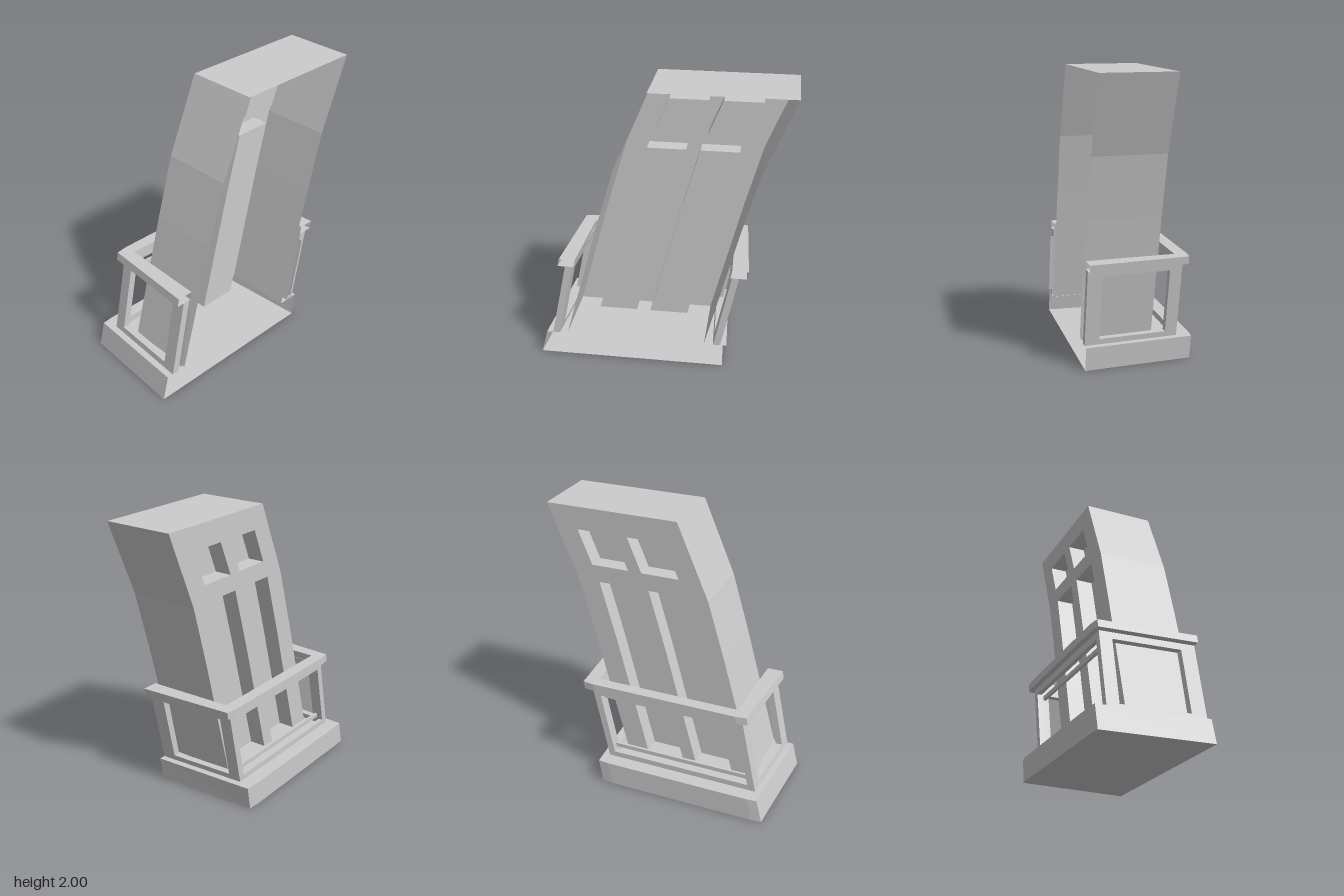
import * as THREE from 'three';

const FRONT = 0.365, BACK = -0.13, RECESS = -0.01;
const material = new THREE.MeshStandardMaterial({ color: 0xcccccc, flatShading: true, side: THREE.DoubleSide });

// Leaning centre lines: straight for base and balustrade, bent for the tower
const lowLean = ([x, y, z]) => [x - 0.213 + 0.208 * y, y, z];
const bend = [[0.17, -0.182], [1.05, 0.05], [1.48, 0.173], [2, 0.39]];
function towerLean([x, y, z]) {
  let i = 0;
  while (i < bend.length - 2 && y > bend[i + 1][0]) i++;
  const [y0, c0] = bend[i], [y1, c1] = bend[i + 1];
  return [c0 + (c1 - c0) * (y - y0) / (y1 - y0) + x * (1 - 0.022 * (y - 0.17)), y, z];
}

function addMesh(group, name, geometry) {
  const mesh = new THREE.Mesh(geometry, material);
  mesh.name = name;
  group.add(mesh);
}

// Faceted sheet through rows of points
function sheet(rows, lean) {
  const pos = [];
  for (let r = 0; r < rows.length - 1; r++)
    for (let i = 0; i < rows[r].length - 1; i++) {
      const a = rows[r][i], b = rows[r][i + 1], c = rows[r + 1][i + 1], d = rows[r + 1][i];
      for (const p of [a, b, c, a, c, d]) pos.push(...lean(p));
    }
  const g = new THREE.BufferGeometry();
  g.setAttribute('position', new THREE.Float32BufferAttribute(pos, 3));
  g.computeVertexNormals();
  return g;
}

// U-shaped outline, open at the front, with a slightly bowed back
const uLine = (y, wFront, wBack, zBack, wMid, zMid) => [
  [-wFront, y, FRONT], [-wBack, y, zBack], [-wMid, y, zMid],
  [wMid, y, zMid], [wBack, y, zBack], [wFront, y, FRONT]];

function warp(geometry, fn) {
  const p = geometry.attributes.position;
  for (let i = 0; i < p.count; i++) p.setXYZ(i, ...fn([p.getX(i), p.getY(i), p.getZ(i)]));
  geometry.computeVertexNormals();
  return geometry;
}

// Slab with a rectangular opening, standing in the xy plane
function framedSlab(x0, x1, y0, y1, hole, depth) {
  const rect = (C, a, b, c, d) => {
    const s = new C();
    s.moveTo(a, c); s.lineTo(b, c); s.lineTo(b, d); s.lineTo(a, d); s.closePath();
    return s;
  };
  const shape = rect(THREE.Shape, x0, x1, y0, y1);
  shape.holes.push(rect(THREE.Path, ...hole));
  return new THREE.ExtrudeGeometry(shape, { depth, bevelEnabled: false });
}

function buildBase(group) {
  const foot = uLine(0, 0.653, 0.608, -0.385, 0.53, -0.392);
  const top = uLine(0.17, 0.645, 0.602, -0.385, 0.53, -0.392);
  const inner = uLine(0.17, 0.49, 0.49, BACK, 0.45, BACK);
  addMesh(group, 'baseWallAndLedge', sheet([foot, top, inner], lowLean));
  addMesh(group, 'baseFloor', sheet([foot.slice(0, 3), foot.slice(3).reverse()], lowLean));
}

function buildTower(group) {
  const xs = [-0.49, -0.327, -0.05, 0.05, 0.327, 0.49];
  const ys = [0.17, 1.05, 1.48, 1.6, 1.84, 2];
  const isRecess = (c, r) => (c === 1 || c === 3) && (r < 2 || r === 3);

  // Side walls and roof
  for (const s of [-1, 1])
    addMesh(group, s < 0 ? 'rightTowerWall' : 'leftTowerWall',
      sheet([FRONT, BACK].map(z => ys.map(y => [s * 0.49, y, z])), towerLean));
  addMesh(group, 'towerRoof', sheet([FRONT, BACK].map(z => [-0.49, 0.49].map(x => [x, 2, z])), towerLean));

  // Back wall around the recesses
  for (let r = 0; r < 5; r++)
    for (let c = 0; c < 5; c++) {
      const z = isRecess(c, r) ? RECESS : BACK;
      addMesh(group, isRecess(c, r) ? 'recessPanel' : 'towerBack',
        sheet([ys[r], ys[r + 1]].map(y => [xs[c], xs[c + 1]].map(x => [x, y, z])), towerLean));
    }

  // Recess linings
  for (const c of [1, 3])
    for (const levels of [[0.17, 1.05, 1.48], [1.6, 1.84]]) {
      for (const x of [xs[c], xs[c + 1]])
        addMesh(group, 'recessSide', sheet([BACK, RECESS].map(z => levels.map(y => [x, y, z])), towerLean));
      for (const y of [levels[0], levels[levels.length - 1]])
        addMesh(group, 'recessEnd', sheet([BACK, RECESS].map(z => [xs[c], xs[c + 1]].map(x => [x, y, z])), towerLean));
    }
}

function buildBalustrade(group) {
  // Side frames, narrowing toward the back
  const taper = (w, z) => w - 0.04 * (FRONT - z) / 0.655;
  for (const s of [-1, 1]) {
    const side = framedSlab(-0.29, FRONT, 0.17, 0.72, [-0.205, 0.265, 0.21, 0.67], 0.05);
    addMesh(group, s < 0 ? 'rightFrame' : 'leftFrame',
      warp(side, ([z, y, d]) => lowLean([s * taper(0.55 + d, z), y, z])));
    // Thin lip at the front end of the frame
    addMesh(group, 'frontLip',
      sheet([0.215, 0.67].map(y => [FRONT, 0.388].map(z => [s * 0.55, y, z])), lowLean));
  }

  // Back frame with slim inner rails
  const back = framedSlab(-0.56, 0.56, 0.17, 0.72, [-0.51, 0.51, 0.21, 0.67], 0.03);
  back.translate(0, 0, -0.29);
  addMesh(group, 'backFrame', warp(back, lowLean));
  for (const y of [0.24, 0.645]) {
    const rail = new THREE.BoxGeometry(1.04, 0.03, 0.02).translate(0, y, -0.235);
    addMesh(group, 'innerRail', warp(rail, lowLean));
  }

  // Hollow cap rail
  const outer = y => uLine(y, 0.652, 0.607, -0.315, 0.53, -0.326);
  const inner = y => uLine(y, 0.54, 0.52, -0.24, 0.48, -0.24);
  addMesh(group, 'capRail', sheet([outer(0.72), outer(0.775), inner(0.775), inner(0.72), outer(0.72)], lowLean));
}

export function createModel() {
  const model = new THREE.Group();
  model.name = 'leaningTower';
  for (const [name, build] of [['base', buildBase], ['tower', buildTower], ['balustrade', buildBalustrade]]) {
    const part = new THREE.Group();
    part.name = name;
    build(part);
    model.add(part);
  }
  return model;
}
